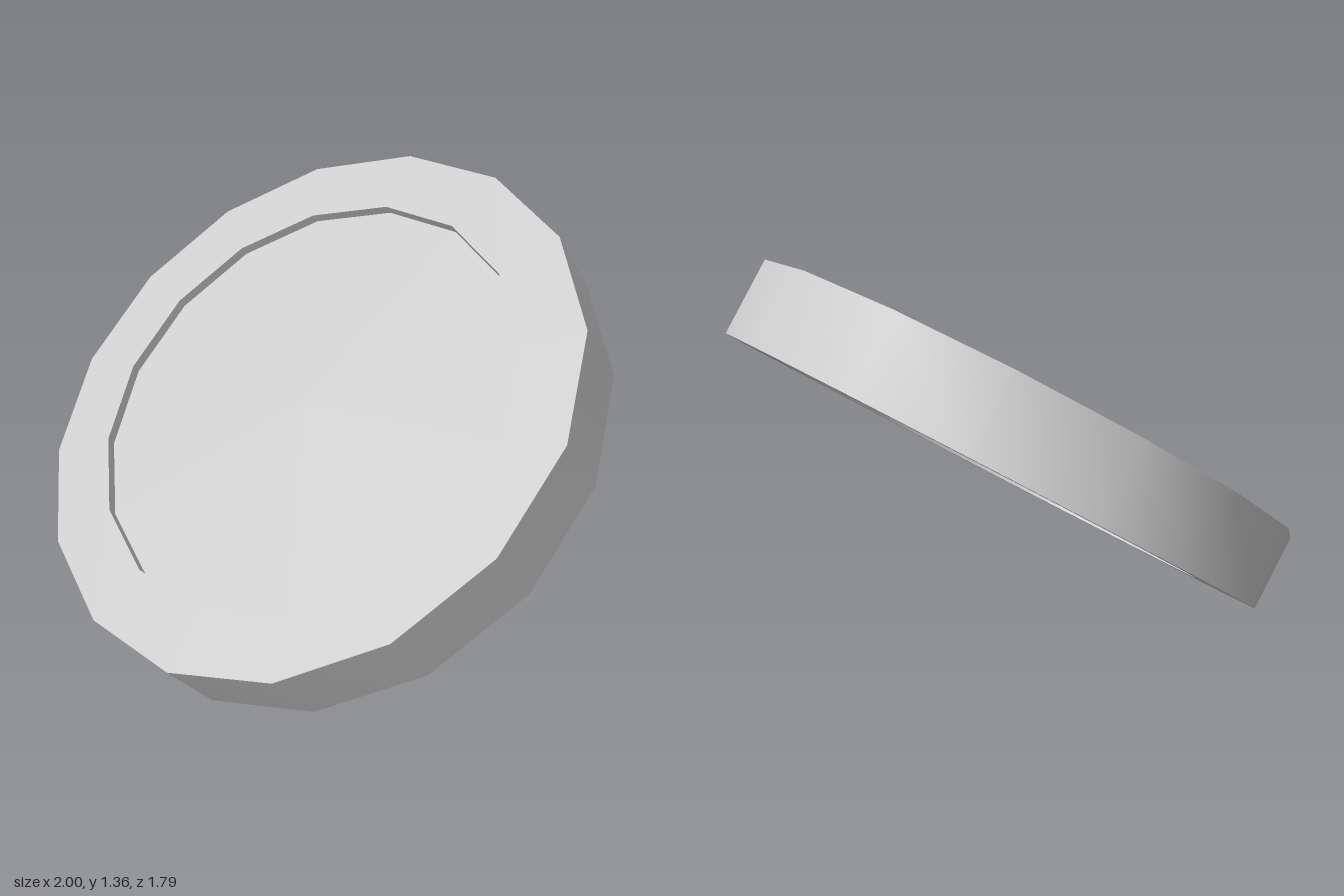
import * as THREE from 'three';
import { toCreasedNormals } from 'three/addons/utils/BufferGeometryUtils.js';

const SIDES = 16, OUTER = 1, INNER = 0.777, HALF = 0.1325, RECESS = 0.035;
const TILT = THREE.MathUtils.degToRad(35);

export function createModel() {
  const model = new THREE.Group();
  const material = new THREE.MeshStandardMaterial({ color: 0xcccccc });
  const disc = new THREE.Group();
  disc.name = 'tiltedDisc';

  // Raised rim: closed rectangular section, smooth around, sharp at its edges
  const section = [[INNER, -HALF], [OUTER, -HALF], [OUTER, HALF], [INNER, HALF], [INNER, -HALF]]
    .map(([r, y]) => new THREE.Vector2(r, y));
  const rim = new THREE.Mesh(toCreasedNormals(new THREE.LatheGeometry(section, SIDES), 0.6), material);
  rim.name = 'rim';

  // Centre panel, sunk below the rim on both faces
  const panel = new THREE.Mesh(
    new THREE.CylinderGeometry(INNER, INNER, 2 * (HALF - RECESS), SIDES), material);
  panel.name = 'centrePanel';

  // Lean the disc towards the front, its lowest edge resting on the ground
  disc.add(rim, panel);
  disc.rotation.x = TILT;
  disc.position.y = OUTER * Math.sin(TILT) + HALF * Math.cos(TILT);
  model.add(disc);
  return model;
}
